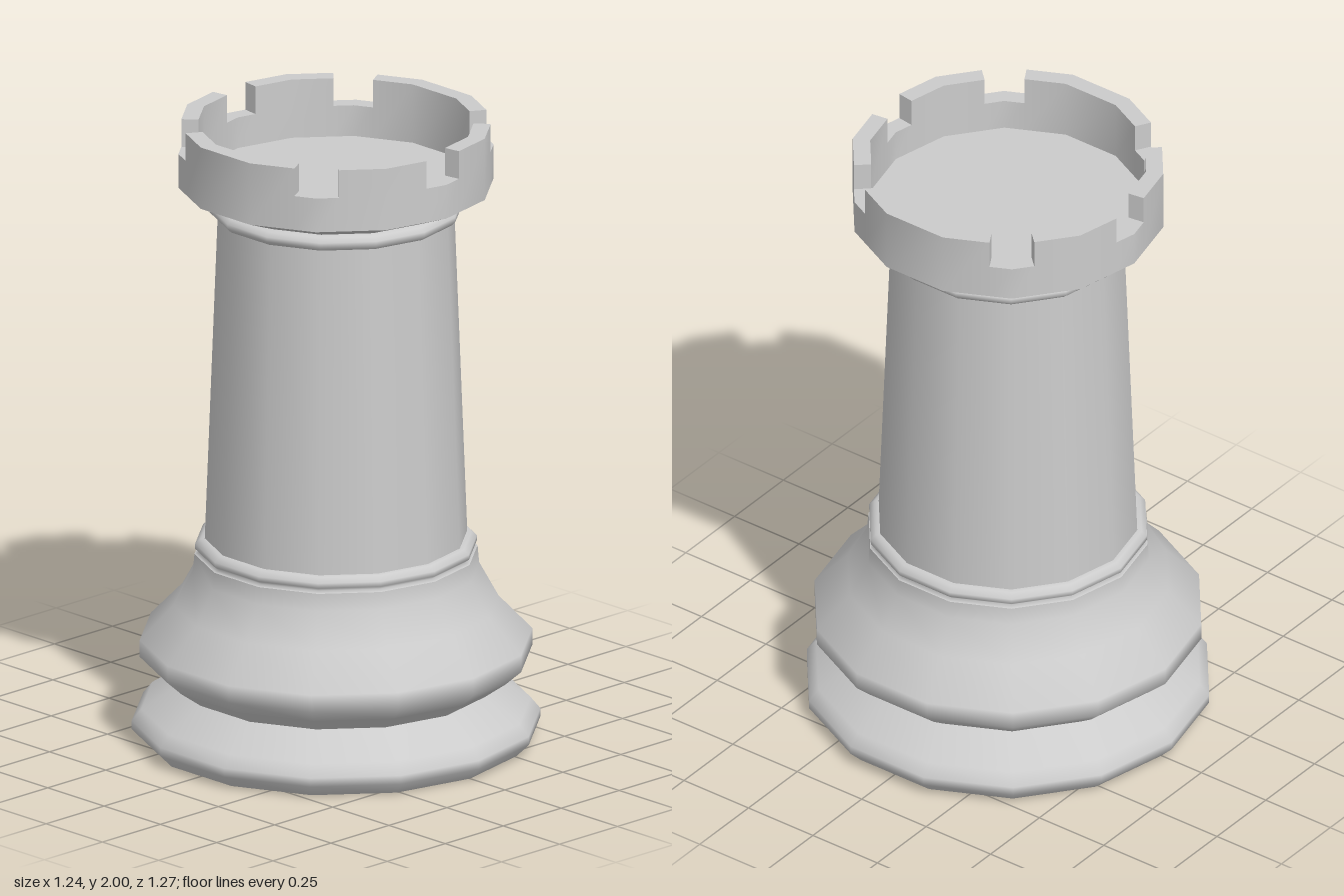
import * as THREE from 'three';
import { toCreasedNormals } from 'three/addons/utils/BufferGeometryUtils.js';

const SIDES = 14;
const STEP = (Math.PI * 2) / SIDES;
const material = new THREE.MeshStandardMaterial({ color: 0xcccccc });

// Turned part: profile of [radius, height] pairs, running upwards on the outside
function turned(name, profile) {
  const points = profile.map(([r, y]) => new THREE.Vector2(r, y));
  const mesh = new THREE.Mesh(new THREE.LatheGeometry(points, SIDES), material);
  mesh.name = name;
  return mesh;
}

// Flat disc with the same corners as the turned parts
function disc(name, radius, y, facing) {
  const geometry = new THREE.CircleGeometry(radius, SIDES, Math.PI / 2);
  geometry.rotateX(-facing * Math.PI / 2);
  geometry.translate(0, y, 0);
  const mesh = new THREE.Mesh(geometry, material);
  mesh.name = name;
  return mesh;
}

// Crenellated wall: a polygonal ring whose top drops at each notch
function battlements() {
  const outer = 0.49, inner = 0.435, bottom = 1.8, floor = 1.81, notchY = 1.91, top = 2;
  const notches = [0, 2, 5, 7, 9, 12];
  const half = 0.145; // half of a notch, in radians

  // Corner angles plus the two edges of every notch
  const angles = [];
  for (let i = 0; i < SIDES; i++) {
    const a = i * STEP;
    if (notches.includes(i)) angles.push(a - half, a, a + half);
    else angles.push(a);
  }
  const at = (angle, radius, y) => {
    const local = ((angle % STEP) + STEP) % STEP - STEP / 2;
    const r = radius * Math.cos(STEP / 2) / Math.cos(local);
    return [Math.sin(angle) * r, y, Math.cos(angle) * r];
  };
  const inNotch = (angle) => notches.some((n) => {
    const d = angle - n * STEP;
    return Math.abs(Math.atan2(Math.sin(d), Math.cos(d))) < half;
  });

  const positions = [];
  const quad = (a, b, c, d) => positions.push(...a, ...b, ...c, ...a, ...c, ...d);
  const count = angles.length;
  const heights = angles.map((a, i) => {
    const next = i + 1 < count ? angles[i + 1] : angles[0] + Math.PI * 2;
    return inNotch((a + next) / 2) ? notchY : top;
  });
  for (let i = 0; i < count; i++) {
    const a = angles[i], b = angles[(i + 1) % count];
    const h = heights[i], before = heights[(i + count - 1) % count];
    quad(at(a, outer, bottom), at(b, outer, bottom), at(b, outer, h), at(a, outer, h));
    quad(at(b, inner, floor), at(a, inner, floor), at(a, inner, h), at(b, inner, h));
    quad(at(a, outer, h), at(b, outer, h), at(b, inner, h), at(a, inner, h));
    // Notch cheeks
    if (h > before) {
      quad(at(a, inner, notchY), at(a, outer, notchY), at(a, outer, top), at(a, inner, top));
    } else if (h < before) {
      quad(at(a, outer, notchY), at(a, inner, notchY), at(a, inner, top), at(a, outer, top));
    }
  }
  const geometry = new THREE.BufferGeometry();
  geometry.setAttribute('position', new THREE.Float32BufferAttribute(positions, 3));
  const mesh = new THREE.Mesh(toCreasedNormals(geometry, 0.6), material);
  mesh.name = 'battlements';
  return mesh;
}

export function createModel() {
  const model = new THREE.Group();
  model.name = 'rook';
  model.add(
    // Foot and base mouldings
    disc('underside', 0.595, 0, -1),
    turned('foot', [[0.595, 0], [0.635, 0.04], [0.635, 0.068], [0.605, 0.105], [0.49, 0.18]]),
    turned('baseUndercut', [[0.49, 0.18], [0.56, 0.23]]),
    turned('baseBulge', [[0.56, 0.23], [0.61, 0.275], [0.61, 0.33], [0.505, 0.44], [0.445, 0.55], [0.44, 0.605]]),
    // Lower collar
    turned('lowerCollar', [[0.44, 0.605], [0.423, 0.61], [0.438, 0.622], [0.438, 0.638], [0.422, 0.653], [0.408, 0.655]]),
    // Tapered shaft
    turned('shaft', [[0.408, 0.655], [0.368, 1.7]]),
    // Upper collar
    turned('upperCollar', [[0.368, 1.7], [0.38, 1.704], [0.393, 1.717], [0.393, 1.732], [0.38, 1.745], [0.362, 1.75]]),
    // Head
    turned('headFlare', [[0.362, 1.75], [0.49, 1.8]]),
    battlements(),
    disc('headFloor', 0.435, 1.81, 1)
  );
  return model;
}
